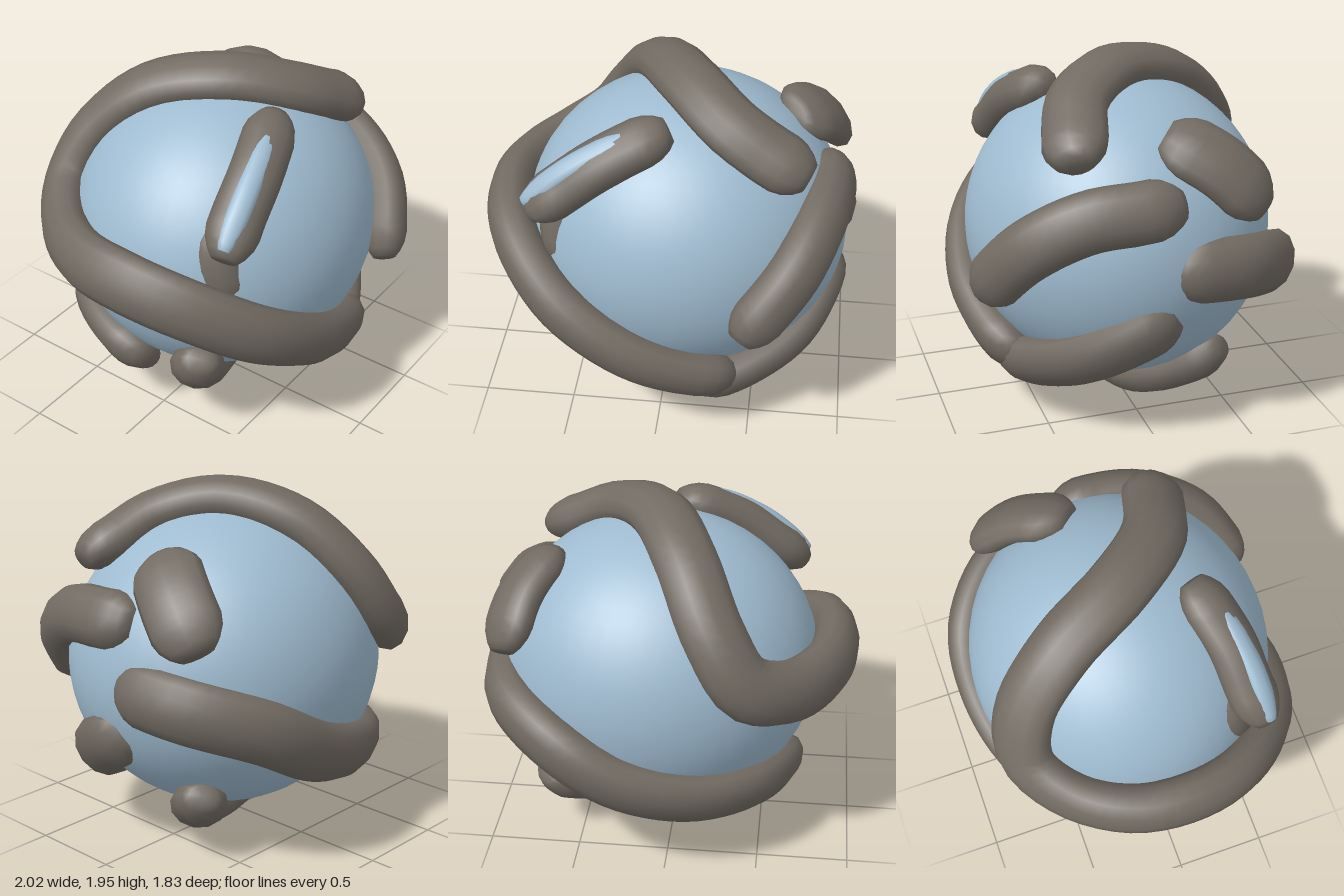
import * as THREE from 'three';

const blue = new THREE.MeshStandardMaterial({ color: 0x9fbbd0 });
blue.name = 'paleBlue';
const brown = new THREE.MeshStandardMaterial({ color: 0x726b63 });
brown.name = 'warmGrey';

const CENTER = new THREE.Vector3(0.095, 0.98, -0.01);
const STRETCH = new THREE.Vector3(1.07, 1, 1.005); // the ball is a little wider than tall
const SIDES = 12;

// Blunt-ended strand hugging the ball. Each point is [x, y, z, distance from the ball's centre].
function strand(name, points, width, height, material = brown, distance = 0.855) {
  const curve = new THREE.CatmullRomCurve3(points.map(([x, y, z, d = distance]) =>
    new THREE.Vector3(x, y, z).sub(CENTER).divide(STRETCH).setLength(d).multiply(STRETCH).add(CENTER)),
  false, 'centripetal');
  const length = curve.getLength();
  const cap = Math.min(0.15, length * 0.32) / length;

  // Stations along the strand with their scale: flat tip, rounded shoulder, full body
  const tip = [[0, 0.001], [0, 0.5], [0.25, 0.72], [0.6, 0.91]].map(([t, s]) => [t * cap, s]);
  const stations = [...tip];
  const steps = Math.max(6, Math.round(length / 0.08));
  for (let i = 0; i <= steps; i++) stations.push([cap + (1 - 2 * cap) * i / steps, 1]);
  tip.slice().reverse().forEach(([t, s]) => stations.push([1 - t, s]));

  const positions = [], index = [];
  for (const [t, s] of stations) {
    const p = curve.getPointAt(t), tangent = curve.getTangentAt(t);
    const side = new THREE.Vector3().crossVectors(tangent, p.clone().sub(CENTER)).normalize();
    const out = new THREE.Vector3().crossVectors(side, tangent).normalize();
    for (let j = 0; j < SIDES; j++) {
      const a = j / SIDES * Math.PI * 2;
      const v = p.clone()
        .addScaledVector(out, Math.cos(a) * height * s)
        .addScaledVector(side, Math.sin(a) * width * s);
      positions.push(v.x, v.y, v.z);
    }
  }
  for (let i = 0; i < stations.length - 1; i++) {
    for (let j = 0; j < SIDES; j++) {
      const a = i * SIDES + j, b = i * SIDES + (j + 1) % SIDES;
      index.push(a, a + SIDES, b, b, a + SIDES, b + SIDES);
    }
  }
  const geometry = new THREE.BufferGeometry();
  geometry.setAttribute('position', new THREE.Float32BufferAttribute(positions, 3));
  // Make sure the faces point outwards
  let volume = 0;
  const A = new THREE.Vector3(), B = new THREE.Vector3(), C = new THREE.Vector3();
  for (let i = 0; i < index.length; i += 3) {
    A.fromArray(positions, index[i] * 3);
    B.fromArray(positions, index[i + 1] * 3);
    C.fromArray(positions, index[i + 2] * 3);
    volume += A.dot(B.cross(C));
  }
  geometry.setIndex(volume < 0 ? index.reverse() : index);
  geometry.computeVertexNormals();
  const mesh = new THREE.Mesh(geometry, material);
  mesh.name = name;
  return mesh;
}

export function createModel() {
  const group = new THREE.Group();
  group.name = 'wrappedBall';

  const ball = new THREE.Mesh(new THREE.SphereGeometry(0.82, 48, 32), blue);
  ball.name = 'ball';
  ball.scale.copy(STRETCH);
  ball.position.copy(CENTER);
  group.add(ball);

  group.add(
    // Long strand: over the top, down the back, round the side and across the front
    strand('longStrand', [
      [0.79, 1.59, 0.42, 0.93], [0.6, 1.68, 0.38, 0.87], [0.35, 1.77, 0.28], [0.1, 1.84, 0], [-0.08, 1.72, -0.36],
      [-0.24, 1.46, -0.62], [-0.4, 1.21, -0.67, 0.865], [-0.62, 1.11, -0.52, 0.875], [-0.8, 1.1, -0.25, 0.9],
      [-0.87, 1.11, 0.05, 0.915], [-0.79, 1.04, 0.36, 0.915], [-0.52, 0.83, 0.65, 0.895],
      [-0.15, 0.61, 0.74, 0.88], [0.15, 0.47, 0.69, 0.885], [0.41, 0.36, 0.62, 0.91],
    ], 0.172, 0.125),
    // Strand beneath the ball
    strand('bottomStrand', [
      [0.75, 0.36, -0.46, 0.88], [0.58, 0.29, -0.28], [0.4, 0.2, -0.1], [0.15, 0.13, 0], [-0.15, 0.14, 0.08],
      [-0.4, 0.27, 0.18], [-0.56, 0.42, 0.28], [-0.67, 0.6, 0.39, 0.88],
    ], 0.15, 0.12),
    // Strand round the back
    strand('backStrand', [
      [0.92, 1.0, -0.06, 0.75], [0.9, 0.98, -0.2, 0.775], [0.79, 0.95, -0.44, 0.84], [0.54, 0.84, -0.69, 0.86],
      [0.24, 0.66, -0.77], [-0.12, 0.54, -0.7], [-0.42, 0.48, -0.52], [-0.57, 0.42, -0.27], [-0.64, 0.36, 0, 0.88],
    ], 0.175, 0.125),
    // Short strands on the left side
    strand('lowerSideStrand', [
      [0.92, 0.74, -0.08, 0.78], [0.88, 0.61, 0.14, 0.795], [0.75, 0.45, 0.38, 0.84], [0.5, 0.32, 0.57, 0.88],
      [0.21, 0.26, 0.67, 0.94],
    ], 0.168, 0.12),
    strand('upperSideStrand', [
      [0.9, 1.35, -0.12, 0.8], [0.9, 1.33, 0.1, 0.805], [0.82, 1.28, 0.36, 0.835], [0.68, 1.12, 0.6, 0.87],
      [0.44, 0.82, 0.8, 0.91],
    ], 0.158, 0.125),
    strand('shortSideStrand', [
      [0.62, 1.6, -0.09, 0.83], [0.79, 1.48, -0.34, 0.885], [0.92, 1.29, -0.6, 0.935],
    ], 0.19, 0.105),
    // Short strand on the upper front, with a pale streak along it
    strand('upperFrontStrand', [
      [-0.73, 1.36, 0.58, 0.965], [-0.5, 1.47, 0.5, 0.89], [-0.3, 1.6, 0.46, 0.87], [0.03, 1.77, 0.36, 0.87],
    ], 0.14, 0.12),
    strand('upperFrontStreak', [
      [-0.72, 1.42, 0.57, 1.015], [-0.46, 1.6, 0.52, 0.968], [-0.16, 1.77, 0.45, 0.946],
    ], 0.062, 0.045, blue),
    // Shallow patch just breaking the ball's surface
    strand('frontPatch', [
      [-0.5, 1.47, 0.42, 0.75], [-0.6, 1.22, 0.45, 0.735], [-0.56, 0.93, 0.53, 0.715],
    ], 0.14, 0.12),
  );
  return group;
}
